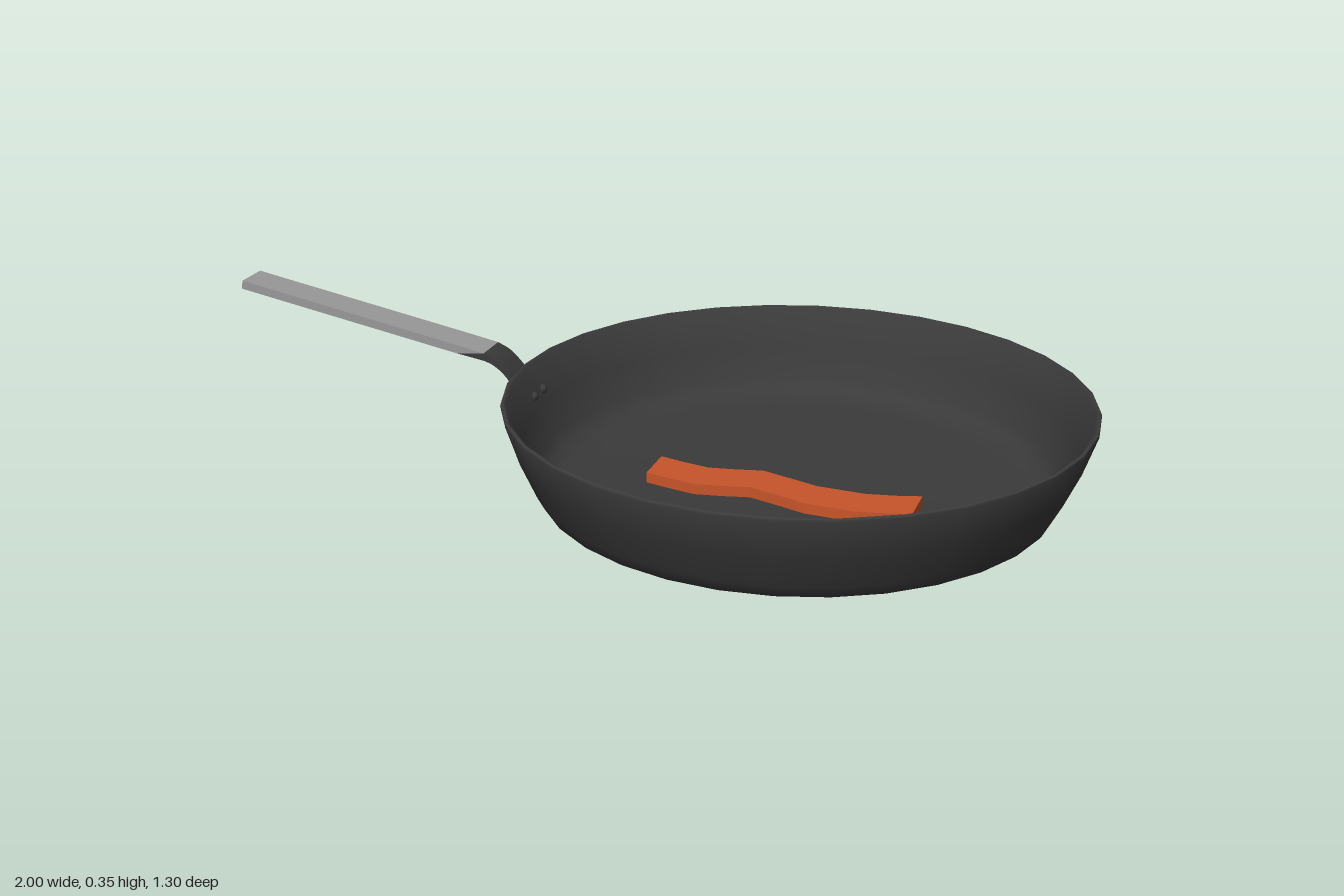
import * as THREE from 'three';
import { toCreasedNormals } from 'three/addons/utils/BufferGeometryUtils.js';

const PAN_X = 0.345;
const HANDLE_WIDTH = 0.083;

const material = (name, color) => new THREE.MeshStandardMaterial({ name, color });
const points = (list) => list.map(([x, y]) => new THREE.Vector2(x, y));

function addMesh(parent, name, geometry, mat) {
  const mesh = new THREE.Mesh(geometry, mat);
  mesh.name = name;
  parent.add(mesh);
  return mesh;
}

// Extrudes a side profile (x, y) centred on z = 0
function extrudeSide(outline, width) {
  const geometry = new THREE.ExtrudeGeometry(new THREE.Shape(outline), { depth: width, bevelEnabled: false });
  geometry.translate(0, 0, -width / 2);
  return toCreasedNormals(geometry, 0.6);
}

export function createModel() {
  const group = new THREE.Group();
  group.name = 'fryingPan';
  const iron = material('dark iron', 0x3a3a3a);
  const steel = material('grey steel', 0x999999);
  const meat = material('bacon orange', 0xc8552a);

  // Pan: underside, flared outer wall, rounded rim, inner wall and floor
  const profile = points([
    [0, 0], [0.5, 0], [0.545, 0.003], [0.57, 0.014], [0.585, 0.042], [0.62, 0.12],
    [0.65, 0.209], [0.649, 0.214], [0.643, 0.216], [0.637, 0.212],
    [0.607, 0.122], [0.575, 0.052], [0.558, 0.028], [0.53, 0.016], [0.48, 0.012], [0, 0.012],
  ]);
  const pan = addMesh(group, 'pan', toCreasedNormals(new THREE.LatheGeometry(profile, 32), 0.9), iron);
  pan.position.x = PAN_X;

  // Handle bar with a slanted inner end
  addMesh(group, 'handleBar', extrudeSide(points([
    [-1, 0.333], [-0.45, 0.237], [-0.385, 0.245], [-0.45, 0.257], [-0.997, 0.353],
  ]), HANDLE_WIDTH), steel);

  // Curved strap from the bar down to the wall
  const upper = new THREE.SplineCurve(points([
    [-0.385, 0.245], [-0.352, 0.229], [-0.318, 0.195], [-0.298, 0.165], [-0.288, 0.15],
  ])).getPoints(12);
  const lower = new THREE.SplineCurve(points([
    [-0.303, 0.145], [-0.315, 0.17], [-0.336, 0.2], [-0.37, 0.223], [-0.41, 0.231], [-0.45, 0.237],
  ])).getPoints(12);
  addMesh(group, 'handleStrap', extrudeSide([...upper, ...lower], HANDLE_WIDTH), iron);

  // Rounded tongue lying against the outer wall
  const tongue = addMesh(group, 'strapTongue',
    toCreasedNormals(new THREE.CylinderGeometry(0.0415, 0.0415, 0.016, 24), 0.6), iron);
  tongue.position.set(-0.293, 0.158, 0);
  tongue.rotation.z = Math.PI / 2 + 0.3;

  // Two rivets on the inner wall
  for (const side of [-1, 1]) {
    const rivet = addMesh(group, 'rivet', new THREE.SphereGeometry(0.011, 12, 8), iron);
    rivet.position.set(-0.27, 0.15, side * 0.026);
  }

  // Wavy bacon strip lying on the floor
  const far = points([[0.03, 0.005], [0.09, 0.02], [0.15, 0.032], [0.21, 0.022], [0.27, 0.008],
    [0.34, 0.03], [0.405, 0.052], [0.515, 0.058], [0.58, 0.046], [0.635, 0.03]]);
  const near = far.map((p) => new THREE.Vector2(p.x, p.y + 0.099)).reverse();
  const strip = new THREE.ExtrudeGeometry(new THREE.Shape([...far, ...near]), { depth: 0.025, bevelEnabled: false });
  strip.rotateX(Math.PI / 2);
  strip.translate(0, 0.036, 0);
  addMesh(group, 'bacon', strip, meat);

  return group;
}
